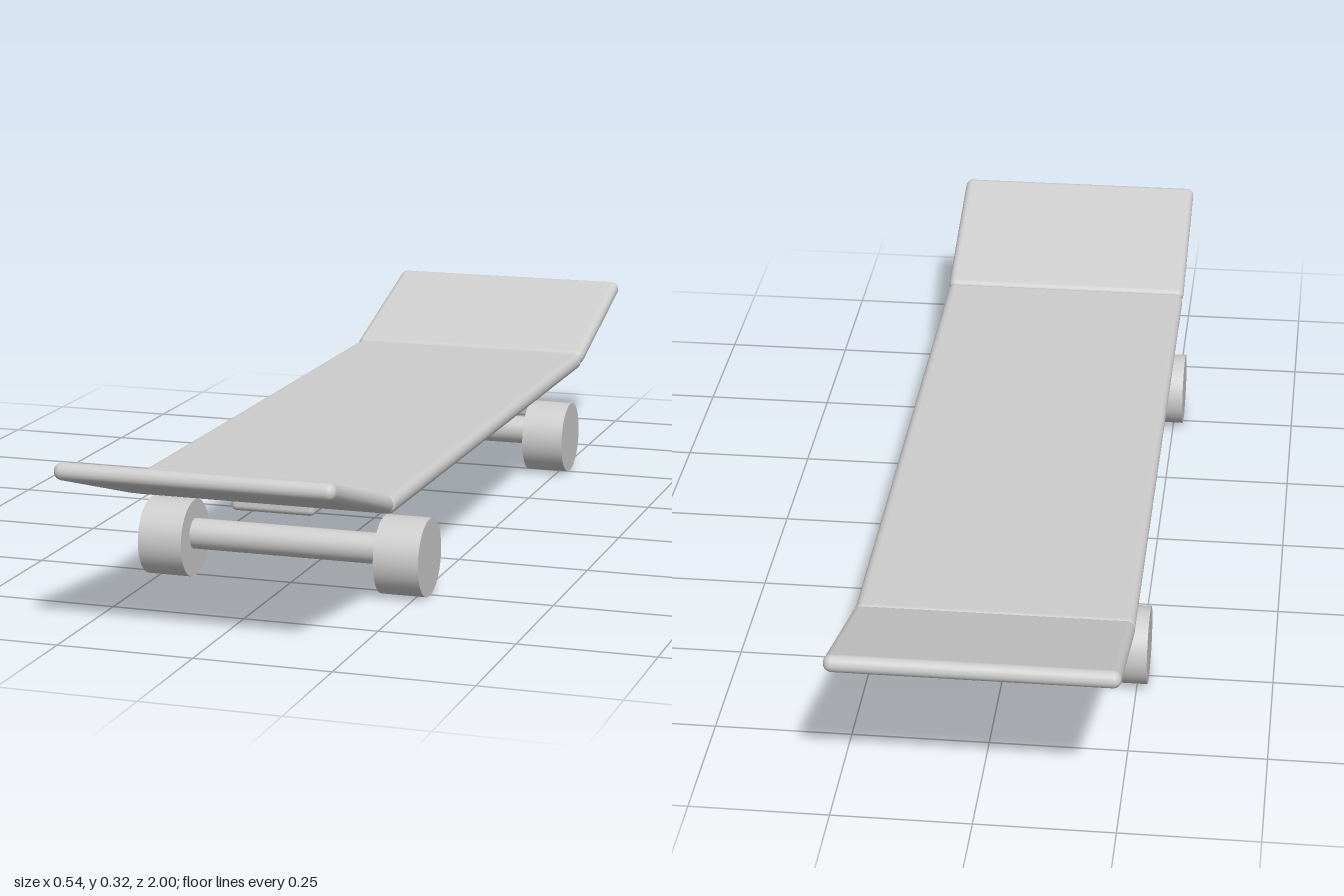
import * as THREE from 'three';
import { RoundedBoxGeometry } from 'three/addons/geometries/RoundedBoxGeometry.js';

export function createModel() {
  const model = new THREE.Group();
  model.name = 'skateboard';
  const grey = new THREE.MeshStandardMaterial({ color: 0xcccccc });
  grey.name = 'light grey';

  const add = (parent, name, geometry, x, y, z) => {
    const mesh = new THREE.Mesh(geometry, grey);
    mesh.name = name;
    mesh.position.set(x, y, z);
    parent.add(mesh);
    return mesh;
  };
  // Cylinder lying along x
  const rod = (radius, length) =>
    new THREE.CylinderGeometry(radius, radius, length, 48).rotateZ(Math.PI / 2);

  // Flat middle of the board
  add(model, 'deck', new RoundedBoxGeometry(0.506, 0.032, 1.34, 4, 0.0155), 0, 0.204, 0);

  for (const [end, s] of [['front', 1], ['back', -1]]) {
    // Upturned end of the board
    const kick = add(model, end + 'Kick',
      new RoundedBoxGeometry(0.508, 0.031, 0.35, 4, 0.015), 0, 0.258, s * 0.832);
    kick.rotation.x = -s * 0.3;

    // Truck: base plate, axle and a wheel on each side
    const truck = new THREE.Group();
    truck.name = end + 'Truck';
    truck.position.z = s * 0.508;
    model.add(truck);
    add(truck, 'basePlate', new RoundedBoxGeometry(0.16, 0.032, 0.186, 4, 0.01), 0, 0.171, 0);
    add(truck, 'axle', rod(0.0285, 0.4), 0, 0.081, 0);
    for (const [side, x] of [['left', 1], ['right', -1]]) {
      add(truck, side + 'Wheel', rod(0.0725, 0.085), x * 0.2275, 0.0725, 0);
    }
  }
  return model;
}
